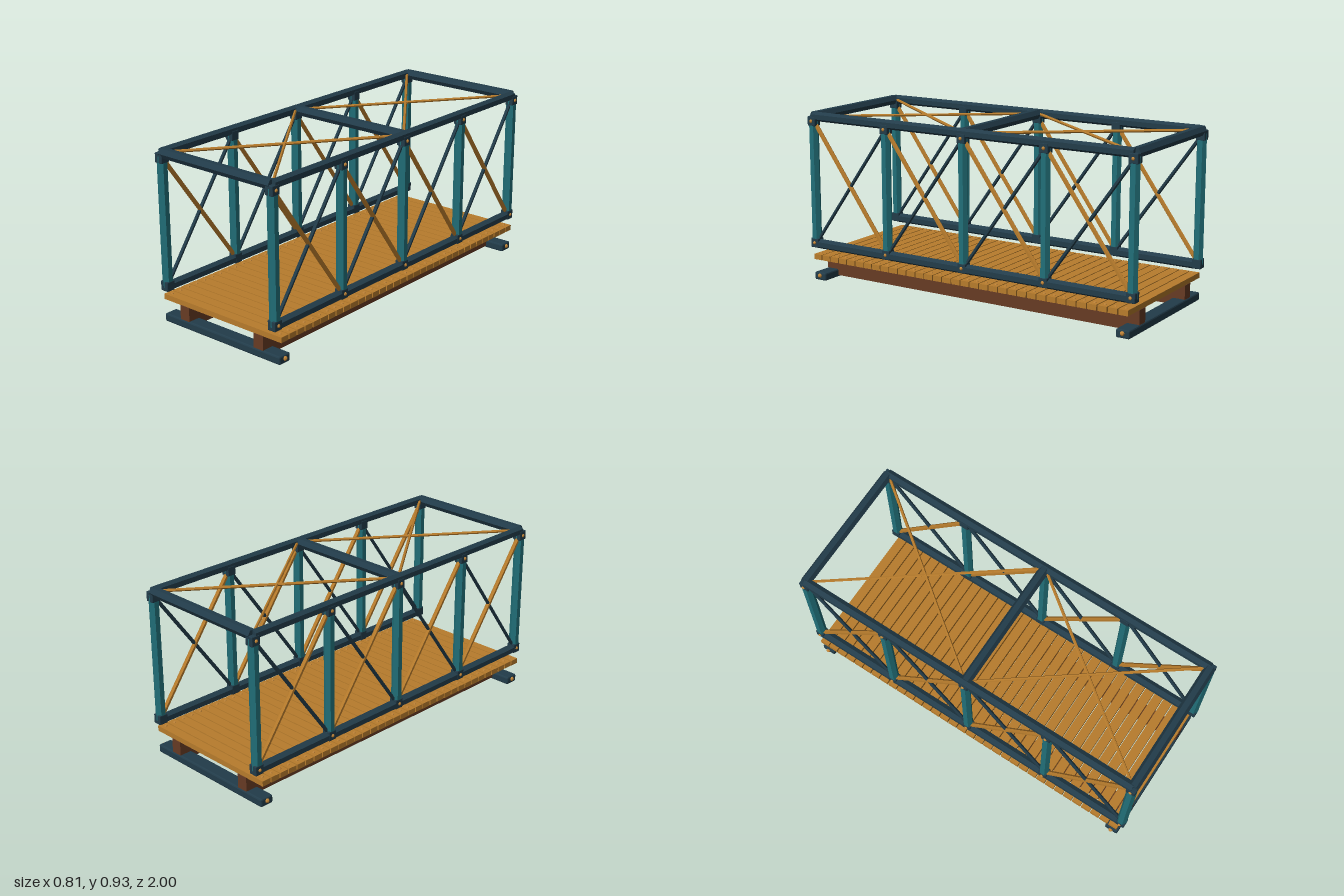
import * as THREE from 'three';
import { RoundedBoxGeometry } from 'three/addons/geometries/RoundedBoxGeometry.js';

const material = (name, color) => {
  const m = new THREE.MeshStandardMaterial({ color });
  m.name = name;
  return m;
};

// Give a geometry faceted normals
function faceted(geometry) {
  const g = geometry.index ? geometry.toNonIndexed() : geometry;
  g.computeVertexNormals();
  return g;
}

export function createModel() {
  const model = new THREE.Group();
  model.name = 'trussBridge';
  const navy = material('navySteel', 0x223c4a);
  const teal = material('tealSteel', 0x217079);
  const amber = material('amberWood', 0xb87c2c);
  const brown = material('brownTimber', 0x673b24);
  const gold = material('boltGold', 0xc08438);

  const add = (parent, name, geometry, mat, x = 0, y = 0, z = 0) => {
    const mesh = new THREE.Mesh(geometry, mat);
    mesh.name = name;
    mesh.position.set(x, y, z);
    parent.add(mesh);
    return mesh;
  };

  // Six-sided bar between two points
  const up = new THREE.Vector3(0, 1, 0);
  const bar = (parent, name, from, to, radius, mat) => {
    const a = new THREE.Vector3(...from);
    const b = new THREE.Vector3(...to);
    const d = b.clone().sub(a);
    const geometry = faceted(new THREE.CylinderGeometry(radius, radius, d.length(), 6));
    const mesh = add(parent, name, geometry, mat);
    mesh.position.copy(a).add(b).multiplyScalar(0.5);
    mesh.quaternion.setFromUnitVectors(up, d.normalize());
  };

  const sideX = 0.365, lowY = 0.2, highY = 0.905, endZ = 0.972;
  const stations = [-2, -1, 0, 1, 2].map((i) => (i * endZ) / 2);
  const jointBox = faceted(new RoundedBoxGeometry(0.048, 0.052, 0.05, 1, 0.004));
  const boltHead = faceted(new THREE.SphereGeometry(0.01, 8, 6));

  // Two side trusses
  for (const s of [-1, 1]) {
    const x = s * sideX;
    const truss = new THREE.Group();
    truss.name = s > 0 ? 'leftTruss' : 'rightTruss';
    model.add(truss);
    bar(truss, 'bottomChord', [x, lowY, -endZ], [x, lowY, endZ], 0.027, navy);
    bar(truss, 'topChord', [x, highY, -endZ], [x, highY, endZ], 0.026, navy);

    stations.forEach((z, i) => {
      bar(truss, 'post', [x, 0.2, z], [x, 0.89, z], 0.027, teal);
      for (const y of [0.206, 0.88]) {
        add(truss, 'joint', jointBox, navy, x, y, z);
        add(truss, 'jointBolt', boltHead, gold, x + s * 0.022, y, z);
      }
      // Crossed diagonals of each bay
      if (i < 4) {
        const next = stations[i + 1];
        bar(truss, 'amberDiagonal', [x, 0.206, z], [x, 0.88, next], 0.0125, amber);
        bar(truss, 'navyDiagonal', [x, 0.88, z], [x, 0.206, next], 0.01, navy);
      }
    });
  }

  // Overhead beams and bracing
  for (const z of [-endZ, 0, endZ]) {
    bar(model, 'overheadBeam', [-sideX, highY, z], [sideX, highY, z], 0.028, navy);
  }
  for (const z of [-endZ, endZ]) {
    for (const s of [-1, 1]) {
      bar(model, 'overheadBrace', [s * sideX, highY, z], [-s * sideX, highY, 0], 0.008, amber);
    }
  }

  // Plank deck with fixings near both edges
  const count = 34, pitch = 1.94 / count;
  const plank = new THREE.BoxGeometry(0.8, 0.029, pitch - 0.006);
  const nail = faceted(new THREE.CylinderGeometry(0.006, 0.009, 0.006, 6));
  const deck = new THREE.Group();
  deck.name = 'deck';
  model.add(deck);
  for (let i = 0; i < count; i++) {
    const z = -0.97 + (i + 0.5) * pitch;
    add(deck, 'plank', plank, amber, 0, 0.1325, z);
    for (const s of [-1, 1]) add(deck, 'nail', nail, gold, s * 0.368, 0.149, z);
  }

  // Timber stringers under the deck
  for (const s of [-1, 1]) {
    add(model, 'stringer', new THREE.BoxGeometry(0.062, 0.109, 1.94), brown, s * 0.252, 0.0645, 0);
  }

  // Ground sills with end bolts
  const sill = faceted(new RoundedBoxGeometry(0.786, 0.044, 0.076, 1, 0.008));
  const sillBolt = faceted(new THREE.SphereGeometry(0.012, 8, 6));
  for (const z of [-0.936, 0.936]) {
    add(model, 'sill', sill, navy, 0, 0.022, z);
    for (const s of [-1, 1]) add(model, 'sillBolt', sillBolt, gold, s * 0.394, 0.026, z);
  }

  return model;
}
